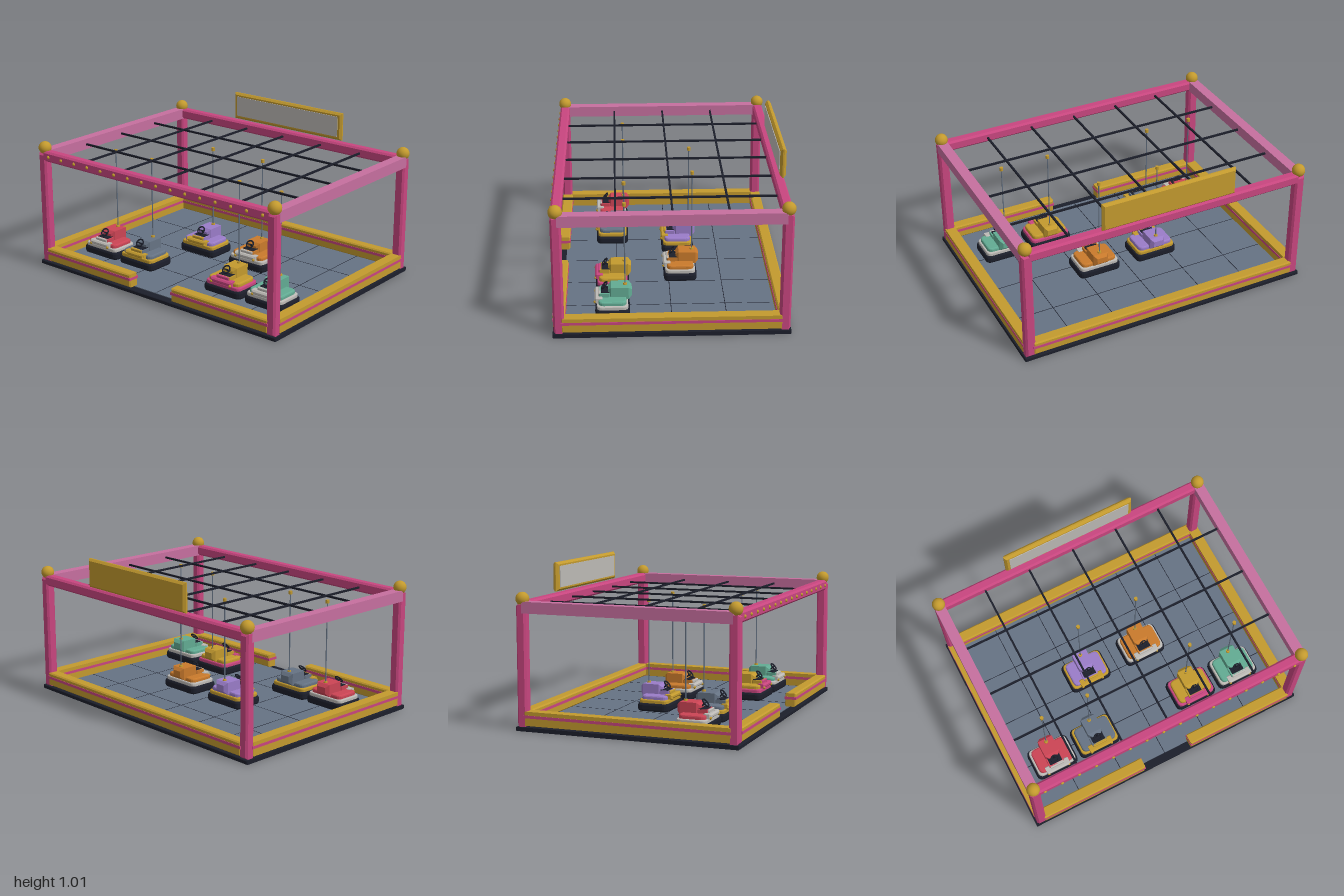
import * as THREE from 'three';

const mat = (name, color) => {
  const m = new THREE.MeshStandardMaterial({ color });
  m.name = name;
  return m;
};

export function createModel() {
  const root = new THREE.Group();
  root.name = 'bumperCarArena';
  const navy = mat('navy', 0x1c1f2b), slate = mat('slate', 0x667384), pink = mat('pink', 0xc8467f),
    lightPink = mat('lightPink', 0xc66f9f), gold = mat('gold', 0xc39a2e), silver = mat('silver', 0xbdbab6),
    red = mat('red', 0xcc4455), teal = mat('teal', 0x62ab93), purple = mat('purple', 0x9a7cc8),
    orange = mat('orange', 0xc97a2c);

  const add = (parent, name, geo, material, x = 0, y = 0, z = 0) => {
    const m = new THREE.Mesh(geo, material);
    m.name = name;
    m.position.set(x, y, z);
    parent.add(m);
    return m;
  };

  // Box with cut edges, centred on its origin
  const chamferBox = (w, h, d, b) => {
    const x = w / 2 - b, y = h / 2 - b;
    const s = new THREE.Shape([[-x, -y], [x, -y], [x, y], [-x, y]].map(p => new THREE.Vector2(...p)));
    const g = new THREE.ExtrudeGeometry(s, {
      depth: d - 2 * b, bevelEnabled: true, bevelThickness: b, bevelSize: b, bevelSegments: 1,
    });
    return g.translate(0, 0, b - d / 2);
  };

  // Flat slab with rounded corners in plan, from y0 to y1
  const slab = (w, d, y0, y1, r, b) => {
    const x = w / 2 - b, z = d / 2 - b;
    const s = new THREE.Shape();
    s.moveTo(-x + r, -z).lineTo(x - r, -z).quadraticCurveTo(x, -z, x, -z + r);
    s.lineTo(x, z - r).quadraticCurveTo(x, z, x - r, z);
    s.lineTo(-x + r, z).quadraticCurveTo(-x, z, -x, z - r);
    s.lineTo(-x, -z + r).quadraticCurveTo(-x, -z, -x + r, -z);
    const g = new THREE.ExtrudeGeometry(s, {
      depth: y1 - y0 - 2 * b, bevelEnabled: true, bevelThickness: b, bevelSize: b,
      bevelSegments: 2, curveSegments: 4,
    });
    return g.rotateX(-Math.PI / 2).translate(0, y0 + b, 0);
  };

  // Base and floor with panel seams
  add(root, 'base', chamferBox(2, 0.026, 1.466, 0.004), navy, 0, 0.013, 0);
  add(root, 'floor', new THREE.BoxGeometry(1.88, 0.01, 1.36), slate, 0, 0.026, 0);
  const wireX = [-0.64, -0.32, 0, 0.32, 0.64], wireZ = [-0.35, -0.005, 0.34];
  for (const x of wireX) {
    add(root, 'floorSeam', new THREE.BoxGeometry(0.004, 0.001, 1.36), navy, x, 0.0313, 0);
    add(root, 'ceilingWire', new THREE.BoxGeometry(0.012, 0.012, 1.36), navy, x, 0.772, 0);
  }
  for (const z of wireZ) {
    add(root, 'floorSeam', new THREE.BoxGeometry(1.88, 0.001, 0.004), navy, 0, 0.0313, z);
    add(root, 'ceilingWire', new THREE.BoxGeometry(1.9, 0.012, 0.012), navy, 0, 0.772, z);
  }

  // Low walls with a coloured stripe, open at the front middle
  const wall = (w, d, x, z) => {
    const g = new THREE.Group();
    g.name = 'lowWall';
    g.position.set(x, 0, z);
    root.add(g);
    add(g, 'wallBody', chamferBox(w, 0.09, d, 0.008), gold, 0, 0.08, 0);
    add(g, 'wallStripe', new THREE.BoxGeometry(w + 0.004, 0.018, d + 0.006), pink, 0, 0.092, 0);
  };
  wall(1.88, 0.074, 0, -0.694);
  for (const s of [-1, 1]) {
    wall(0.765, 0.074, s * 0.558, 0.694);
    wall(0.07, 1.36, s * 0.957, 0);
  }

  // Posts, beams and corner balls
  for (const x of [-0.957, 0.957]) {
    for (const z of [-0.694, 0.694]) {
      add(root, 'post', chamferBox(0.066, 0.765, 0.066, 0.012), pink, x, 0.408, z);
      add(root, 'cornerBall', new THREE.SphereGeometry(0.043, 16, 12), gold, x, 0.825, z);
    }
    add(root, 'sideBeam', chamferBox(0.068, 0.072, 1.4, 0.014), lightPink, x, 0.774, 0);
  }
  for (const z of [-0.694, 0.694])
    add(root, 'crossBeam', chamferBox(1.9, 0.07, 0.066, 0.012), pink, 0, 0.775, z);

  // Row of bulbs on the front beam
  for (let i = 0; i < 16; i++)
    add(root, 'bulb', new THREE.SphereGeometry(0.012, 10, 8), gold, -0.894 + i * 0.1192, 0.775, 0.725);

  // Sign board
  add(root, 'signFrame', chamferBox(0.925, 0.19, 0.038, 0.014), gold, 0, 0.911, -0.716);
  add(root, 'signPanel', new THREE.BoxGeometry(0.865, 0.14, 0.006), silver, 0, 0.911, -0.696);

  // Bumper cars: x, z, body colour, trim colour
  const cars = [
    [-0.70, 0.365, red, silver], [-0.375, 0.365, slate, gold], [-0.215, -0.08, purple, gold],
    [0.21, -0.08, orange, silver], [0.37, 0.365, gold, pink], [0.70, 0.365, teal, silver],
  ];
  for (const [x, z, body, trim] of cars) {
    const car = new THREE.Group();
    car.name = 'bumperCar';
    car.position.set(x, 0, z);
    root.add(car);
    add(car, 'bumper', slab(0.3, 0.216, 0.045, 0.1, 0.025, 0.014), navy);
    add(car, 'trimBand', slab(0.276, 0.196, 0.09, 0.122, 0.025, 0.007), trim);
    add(car, 'carBody', slab(0.25, 0.174, 0.11, 0.147, 0.025, 0.01), body);
    add(car, 'apron', chamferBox(0.17, 0.03, 0.055, 0.009), trim, 0, 0.137, 0.085);
    add(car, 'cockpit', chamferBox(0.108, 0.036, 0.075, 0.008), body, 0, 0.153, 0.05);
    add(car, 'seat', chamferBox(0.088, 0.012, 0.055, 0.003), navy, 0, 0.169, 0.044);
    add(car, 'seatTrim', chamferBox(0.1, 0.022, 0.02, 0.004), trim, 0, 0.16, 0.08);
    add(car, 'hood', chamferBox(0.106, 0.08, 0.15, 0.02), body, 0, 0.17, -0.047);

    // Steering wheel leaning back on its column
    const wheel = new THREE.Group();
    wheel.name = 'steeringWheel';
    wheel.position.set(0, 0.205, 0.05);
    wheel.rotation.x = -0.7;
    car.add(wheel);
    add(wheel, 'wheelRim', new THREE.TorusGeometry(0.026, 0.005, 8, 18), navy);
    add(wheel, 'wheelSpoke', new THREE.BoxGeometry(0.05, 0.007, 0.005), navy);
    add(wheel, 'column', new THREE.CylinderGeometry(0.005, 0.005, 0.05, 8).rotateX(Math.PI / 2), navy, 0, 0, -0.026);

    // Power pole with its contact
    add(car, 'poleSocket', new THREE.CylinderGeometry(0.012, 0.014, 0.012, 10), gold, 0, 0.214, -0.08);
    add(car, 'pole', new THREE.CylinderGeometry(0.004, 0.004, 0.54, 8), slate, 0, 0.478, -0.08);
    add(car, 'poleContact', new THREE.CylinderGeometry(0.012, 0.012, 0.022, 10), gold, 0, 0.755, -0.08);

    for (const s of [-1, 1])
      add(car, 'headlight', new THREE.SphereGeometry(0.01, 10, 8), gold, s * 0.075, 0.128, 0.108);
  }
  return root;
}
